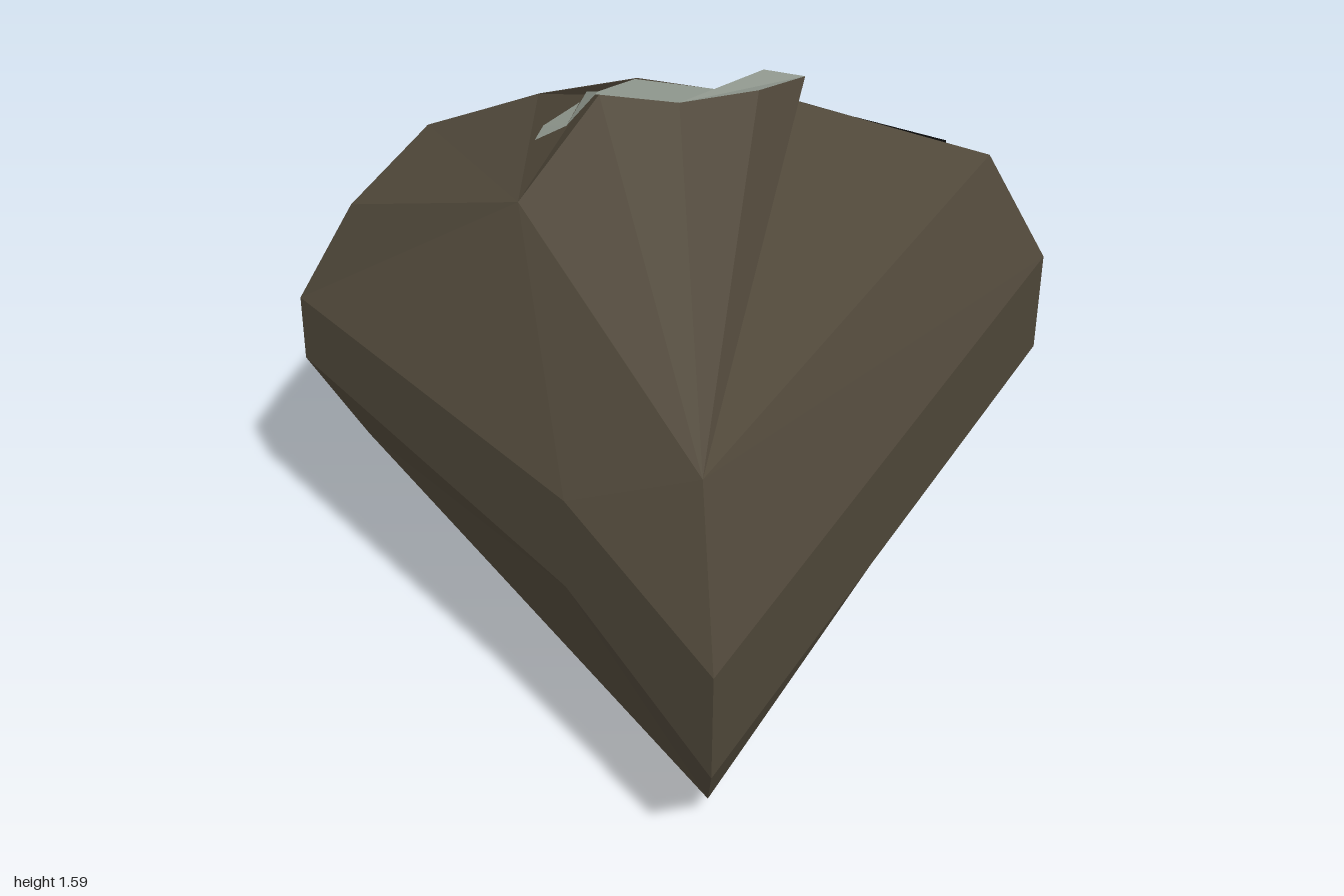
import * as THREE from 'three';

const rock = new THREE.MeshStandardMaterial({ color: 0x50483a, side: THREE.DoubleSide });
rock.name = 'brown rock';
const ore = new THREE.MeshStandardMaterial({ color: 0x98a096, side: THREE.DoubleSide });
ore.name = 'grey ore';
const black = new THREE.MeshStandardMaterial({ color: 0x0c0c0c, side: THREE.DoubleSide });
black.name = 'black vein';

// The split side is one vertical plane
const NX = 0.866, NZ = -0.5;
const planeX = z => 0.572 * (z + 1) - 0.01;
const onPlane = (z, y) => [planeX(z), y, z];

const fan = (c, ring) => ring.slice(1).map((p, i) => [c, ring[i], p]);
const strip = (a, b) => a.slice(1).flatMap((p, i) => [[a[i], b[i], p], [b[i], b[i + 1], p]]);

// Flat-shaded mesh of triangles, each turned away from the middle of the rock
function facets(name, material, tris, normal) {
  const pos = [], mid = new THREE.Vector3(0, 0.7, 0);
  for (const t of tris) {
    const v = t.map(p => new THREE.Vector3(...p));
    const n = v[1].clone().sub(v[0]).cross(v[2].clone().sub(v[0]));
    const facing = normal ? n.dot(normal) : n.dot(v[0].clone().add(v[1]).add(v[2]).divideScalar(3).sub(mid));
    if (facing < 0) v.reverse();
    v.forEach(p => pos.push(p.x, p.y, p.z));
  }
  const g = new THREE.BufferGeometry();
  g.setAttribute('position', new THREE.Float32BufferAttribute(pos, 3));
  g.computeVertexNormals();
  if (normal) setNormal(g);
  const m = new THREE.Mesh(g, material);
  m.name = name;
  return m;
}

function setNormal(g) {
  const n = g.attributes.normal;
  for (let i = 0; i < n.count; i++) n.setXYZ(i, NX, 0, NZ);
}

// Flat outline of [z, y] points laid on the split plane
function plate(name, material, pts, off) {
  const g = new THREE.ShapeGeometry(new THREE.Shape(pts.map(([z, y]) => new THREE.Vector2(-z, y))));
  const p = g.attributes.position;
  for (let i = 0; i < p.count; i++) {
    const z = -p.getX(i);
    p.setXYZ(i, planeX(z) + NX * off, p.getY(i), z + NZ * off);
  }
  setNormal(g);
  const m = new THREE.Mesh(g, material);
  m.name = name;
  return m;
}

export function createModel() {
  const group = new THREE.Group();
  group.name = 'splitRock';

  // Upright corner profiles, bottom to top
  const A = [[-0.77, 0.09, 0.83], [-0.99, 0.42, 1], [-0.99, 0.73, 1], [-0.79, 1.1, 0.81]];
  const R = [[0.89, 0.24, 0.57], [0.98, 0.57, 0.73], [0.98, 0.88, 0.73], [0.89, 1.2, 0.57]];
  const K = [[0.07, 0.43, -0.85], [-0.01, 0.66, -1], [-0.01, 0.88, -1], [0.07, 1.17, -0.87]];
  const L = [[-0.48, 0.45, -0.64], [-0.58, 0.71, -0.77], [-0.58, 0.91, -0.77], [-0.48, 1.21, -0.64]];
  const M1 = [-0.86, 0.645, 0.44], M2 = [-0.86, 0.91, 0.44];

  // Crown points
  const S = [0.61, 1.33, 0.09], E = [0.46, 1.5, 0.21], Q = [0.17, 1.58, 0.26], D = [0.02, 1.555, 0.11];
  const N = [-0.13, 1.59, -0.04], T = [-0.46, 1.41, -0.04], U = [0.23, 1.3, -0.57];
  const V = [0.03, 1.48, -0.21], F = [0.46, 1.48, 0.07], G = [0.3, 1.47, 0.05], H = [0.37, 1.37, -0.32];
  const C = [0.03, 0.165, -0.21];

  group.add(
    facets('frontBands', rock, strip(A, R)),
    facets('backBands', rock, strip(K, L)),
    facets('frontSlope', rock, fan(A[3], [R[3], S, E, Q, D, N, T])),
    facets('backSlope', rock, [...fan(T, [L[3], K[3], U, V, N])]),
    facets('sideFacets', rock, [
      ...strip([L[1], L[2]], [M1, M2]), ...strip([M1, M2], [A[1], A[2]]),
      ...fan(M2, [L[2], T, A[3], A[2]]), [L[2], L[3], T],
      ...fan(M1, [L[1], L[0], A[0], A[1]]),
    ]),
    facets('underside', rock, fan(C, [
      A[0], R[0], [0.61, 0.03, 0.09], onPlane(0.05, 0.1), onPlane(-0.26, 0.07),
      onPlane(-0.32, 0.01), onPlane(-0.28, 0.17), onPlane(-0.57, 0.2), K[0], L[0], A[0],
    ])),
    // Broken rim between the split face and the ore cap
    facets('brokenRim', rock, [[H, V, U], [S, F, G], [S, G, H], [E, S, F]], new THREE.Vector3(NX, 0, NZ)),
    plate('splitFace', rock, [
      [0.57, 0.24], [0.09, 0.03], [0.05, 0.1], [-0.26, 0.07], [-0.32, 0.01], [-0.28, 0.17],
      [-0.57, 0.2], [-0.85, 0.43], [-1, 0.66], [-1, 0.88], [-0.87, 1.17], [-0.57, 1.3],
      [-0.32, 1.37], [0.09, 1.33], [0.57, 1.2], [0.73, 0.88], [0.73, 0.57],
    ], 0),
  );

  // Ore cap with a short drip, and the ore patch underneath
  const Y = [-0.13, 1.464, -0.155];
  group.add(
    facets('oreCap', ore, fan(D, [Q, E, F, G, H, V, N])),
    facets('oreDrip', ore, [
      [[-0.13, 1.597, -0.045], [0.03, 1.487, -0.217], Y],
      [Y, [-0.02, 1.479, -0.2], [-0.07, 1.4, -0.29]],
      [Y, [-0.07, 1.4, -0.29], [-0.13, 1.385, -0.27]],
    ]),
    facets('orePatchBelow', ore, fan([0.03, 0.155, -0.21], [
      [0.37, 0.005, -0.32], [0.3, 0.09, 0.05], [0.46, 0.07, 0.07], [0.38, 0.178, 0.5],
      [0.07, 0.152, 0.52], [-0.38, 0.118, 0.25], [-0.24, 0.145, 0.05], [0.03, 0.155, -0.21],
    ])),
  );

  // Veins on the split face
  const blackVeins = [
    [[0.46, 1.235], [0.23, 1.29], [0.3, 1.166], [0.52, 0.9], [0.62, 0.74], [0.665, 0.63],
      [0.645, 0.42], [0.7, 0.52], [0.725, 0.71], [0.7, 0.81], [0.585, 0.925], [0.48, 1.085]],
    [[0.09, 0.94], [0.09, 0.82], [0.25, 0.91], [0.345, 0.87], [0.515, 0.755], [0.65, 0.67],
      [0.64, 0.71], [0.46, 0.85], [0.27, 0.99], [0.205, 1.01]],
    [[0.09, 0.63], [0.09, 0.52], [0.33, 0.68], [0.41, 0.64], [0.515, 0.56], [0.655, 0.51],
      [0.65, 0.56], [0.515, 0.63], [0.4, 0.74], [0.335, 0.77]],
    [[-0.57, 1.16], [-0.71, 1.19], [-0.86, 1.17], [-0.96, 0.99], [-0.85, 0.98], [-0.74, 0.925], [-0.57, 0.9]],
    [[-0.57, 0.66], [-0.77, 0.69], [-0.955, 0.75], [-1, 0.71], [-1, 0.66], [-0.93, 0.555],
      [-0.85, 0.59], [-0.74, 0.545], [-0.57, 0.525]],
  ];
  const oreVeins = [
    [[0.09, 1.2], [0.09, 1], [0.195, 1.03], [0.33, 0.97], [0.45, 0.93], [0.43, 0.995], [0.3, 1.085], [0.14, 1.21]],
    [[0.09, 0.135], [0.09, 0.04], [0.41, 0.18], [0.58, 0.27], [0.6, 0.3], [0.565, 0.35], [0.505, 0.38]],
  ];
  blackVeins.forEach(v => group.add(plate('blackVein', black, v, 0.005)));
  oreVeins.forEach(v => group.add(plate('oreVein', ore, v, 0.005)));

  return group;
}
